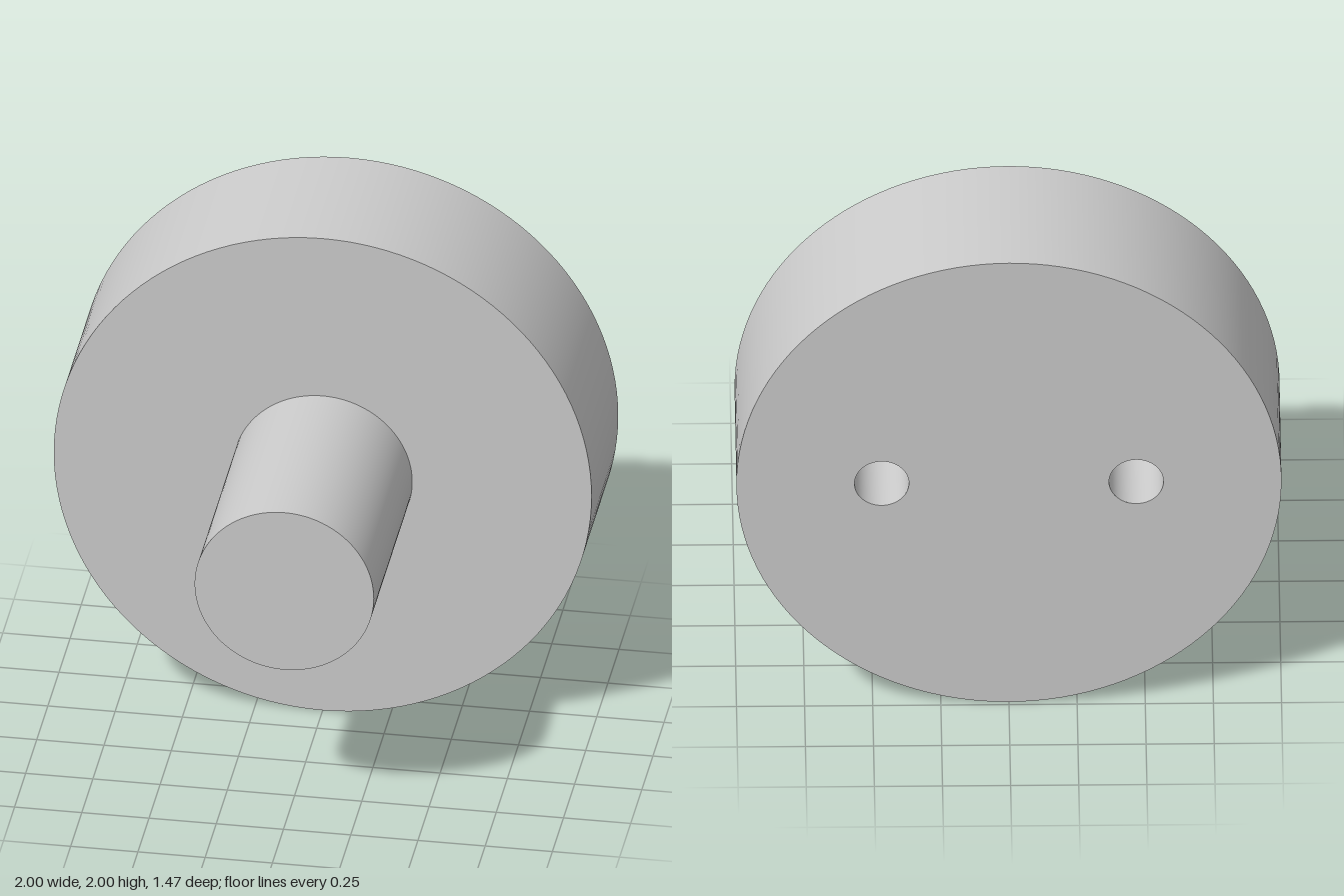
import * as THREE from 'three';

const SEG = 128;
const BACK = -0.733, FACE = -0.133, TIP = 0.733; // z stations along the axis
const DISC_R = 1, STEM_R = 0.333;
const HOLE_R = 0.1, HOLE_X = 0.467, HOLE_DEPTH = 0.4;

export function createModel() {
  const material = new THREE.MeshStandardMaterial({ color: 0xcccccc });
  const boreMaterial = new THREE.MeshStandardMaterial({ color: 0xcccccc, side: THREE.BackSide });

  const model = new THREE.Group();
  model.name = 'discKnob';
  model.position.y = DISC_R; // axis height, so the rim rests on y = 0

  const add = (parent, name, geometry, mat = material) => {
    const mesh = new THREE.Mesh(geometry, mat);
    mesh.name = name;
    parent.add(mesh);
  };
  // Open tube along z between two stations
  const tube = (r, z0, z1, seg = SEG) =>
    new THREE.CylinderGeometry(r, r, z1 - z0, seg, 1, true)
      .rotateX(Math.PI / 2)
      .translate(0, 0, (z0 + z1) / 2);

  // Disc: rim, front face around the stem, drilled back face
  const disc = new THREE.Group();
  disc.name = 'disc';
  model.add(disc);
  add(disc, 'discRim', tube(DISC_R, BACK, FACE));
  add(disc, 'discFrontFace', new THREE.RingGeometry(STEM_R, DISC_R, SEG).translate(0, 0, FACE));

  const backShape = new THREE.Shape().absarc(0, 0, DISC_R, 0, Math.PI * 2);
  for (const side of [-1, 1]) {
    backShape.holes.push(new THREE.Path().absarc(side * HOLE_X, 0, HOLE_R, 0, Math.PI * 2, true));
  }
  add(disc, 'discBackFace',
    new THREE.ShapeGeometry(backShape, SEG / 2).rotateY(Math.PI).translate(0, 0, BACK));

  // Two blind mounting holes in the back
  for (const side of [-1, 1]) {
    const hole = new THREE.Group();
    hole.name = side > 0 ? 'leftHole' : 'rightHole';
    hole.position.x = side * HOLE_X;
    add(hole, 'holeWall', tube(HOLE_R, BACK, BACK + HOLE_DEPTH, SEG / 2), boreMaterial);
    add(hole, 'holeFloor',
      new THREE.CircleGeometry(HOLE_R, SEG / 2).rotateY(Math.PI).translate(0, 0, BACK + HOLE_DEPTH));
    disc.add(hole);
  }

  // Stem projecting forward from the disc
  const stem = new THREE.Group();
  stem.name = 'stem';
  model.add(stem);
  add(stem, 'stemSide', tube(STEM_R, FACE, TIP));
  add(stem, 'stemEnd', new THREE.CircleGeometry(STEM_R, SEG).translate(0, 0, TIP));

  return model;
}
